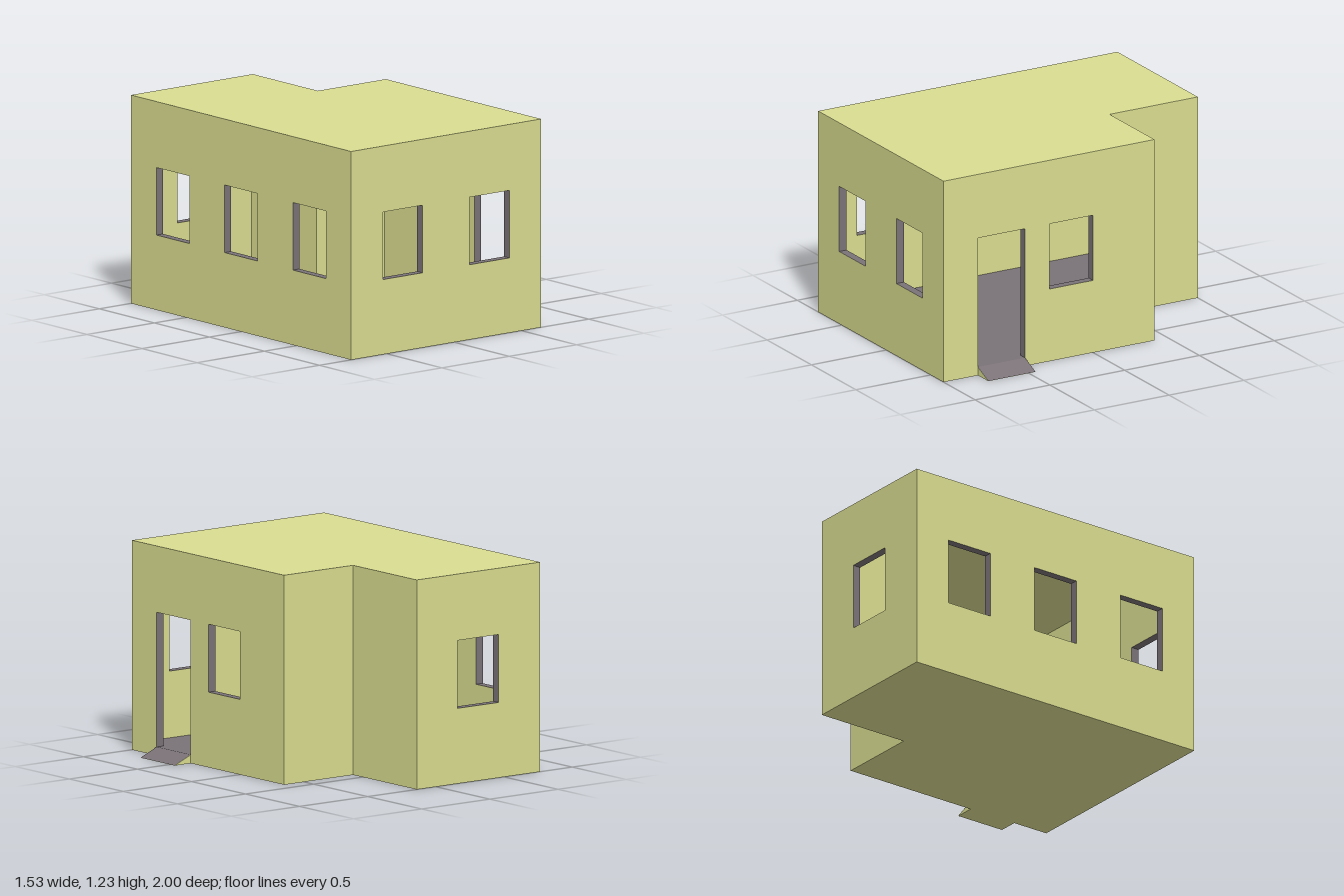
import * as THREE from 'three';

const H = 1.225, T = 0.05, FLOOR = 0.05; // wall height, wall thickness, floor level
const SILL = 0.44, HEAD = 0.837;

const paint = new THREE.MeshStandardMaterial({ color: 0xdadd90, side: THREE.DoubleSide });
const trim = new THREE.MeshStandardMaterial({ color: 0x7a7277, side: THREE.DoubleSide });

// L-shaped footprint [x, z], walked so that the outside is always on the right
const outer = [[-0.765, 1], [0.645, 1], [0.645, -0.41], [0.14, -0.41], [0.14, -1], [-0.765, -1]];
const inner = [[-0.715, 0.95], [0.595, 0.95], [0.595, -0.36], [0.09, -0.36], [0.09, -0.95], [-0.715, -0.95]];
const CONCAVE = 3; // index of the inward corner

// Openings per wall: [start, end, bottom] measured along the wall
const openings = [
  [[0.235, 0.53, SILL], [0.88, 1.175, SILL]],
  [[0.23, 0.545, FLOOR], [0.71, 1.0, SILL]],
  [],
  [],
  [[0.3, 0.6, SILL]],
  [[0.23, 0.53, SILL], [0.85, 1.15, SILL], [1.47, 1.77, SILL]],
];

function add(parent, name, geometry, material, x = 0, y = 0, z = 0) {
  const mesh = new THREE.Mesh(geometry, material);
  mesh.name = name;
  mesh.position.set(x, y, z);
  parent.add(mesh);
  return mesh;
}

const rect = (x0, x1, y0, y1) => [[x0, y0], [x1, y0], [x1, y1], [x0, y1]].map((p) => new THREE.Vector2(...p));

// Wall skin with its openings cut out
function skin(x0, x1, holes) {
  const shape = new THREE.Shape(rect(x0, x1, 0, H));
  for (const [a, b, y] of holes) shape.holes.push(new THREE.Path(rect(a, b, y, HEAD)));
  return new THREE.ShapeGeometry(shape);
}

// Grey lining of an opening: bottom, head and two jambs
function reveal([a, b, y]) {
  const group = new THREE.Group();
  group.name = y === FLOOR ? 'doorReveal' : 'windowReveal';
  const w = b - a, h = HEAD - y, mid = (a + b) / 2;
  for (const [name, level, turn] of [['sill', y, -1], ['lintel', HEAD, 1]])
    add(group, name, new THREE.PlaneGeometry(w, T).rotateX(turn * Math.PI / 2), trim, mid, level, -T / 2);
  for (const [name, u, turn] of [['jambStart', a, 1], ['jambEnd', b, -1]])
    add(group, name, new THREE.PlaneGeometry(T, h).rotateY(turn * Math.PI / 2), trim, u, y + h / 2, -T / 2);
  return group;
}

// Horizontal slab face; turned over when it faces down
function slab(points, up) {
  const shape = new THREE.Shape(points.map(([x, z]) => new THREE.Vector2(x, up ? -z : z)));
  return new THREE.ShapeGeometry(shape).rotateX(up ? -Math.PI / 2 : Math.PI / 2);
}

export function createModel() {
  const model = new THREE.Group();
  model.name = 'house';
  const names = ['frontWall', 'doorWall', 'recessBackWall', 'recessSideWall', 'backWall', 'longSideWall'];

  // Walls, each in a frame whose +x runs along the wall and +z points outside
  outer.forEach(([x, z], i) => {
    const j = (i + 1) % outer.length;
    const dx = outer[j][0] - x, dz = outer[j][1] - z, length = Math.hypot(dx, dz);
    const wall = new THREE.Group();
    wall.name = names[i];
    wall.position.set(x, 0, z);
    wall.rotation.y = Math.atan2(-dz, dx);
    const start = i === CONCAVE ? -T : T, end = j === CONCAVE ? -T : T;
    add(wall, 'outerFace', skin(0, length, openings[i]), paint);
    add(wall, 'innerFace', skin(start, length - end, openings[i]), paint, 0, 0, -T);
    openings[i].forEach((o) => wall.add(reveal(o)));
    model.add(wall);
  });

  // Roof, ceiling, floor and underside
  add(model, 'roof', slab(outer, true), paint, 0, H);
  add(model, 'ceiling', slab(inner, false), paint, 0, H - 0.005);
  add(model, 'floor', slab(inner, true), trim, 0, FLOOR);
  add(model, 'underside', slab(outer, false), paint);

  // Door ramp: wedge body with a grey walking surface
  const x0 = 0.645, run = 0.117, z0 = 0.455, width = 0.315;
  const wedge = new THREE.Shape([[0, 0], [run, 0], [0, FLOOR]].map((p) => new THREE.Vector2(...p)));
  add(model, 'rampBody', new THREE.ExtrudeGeometry(wedge, { depth: width, bevelEnabled: false }), paint, x0, 0, z0);
  const slope = new THREE.PlaneGeometry(Math.hypot(run, FLOOR), width).rotateX(-Math.PI / 2).rotateZ(-Math.atan2(FLOOR, run));
  add(model, 'rampSurface', slope, trim, x0 + run / 2, FLOOR / 2 + 0.001, z0 + width / 2);

  return model;
}
